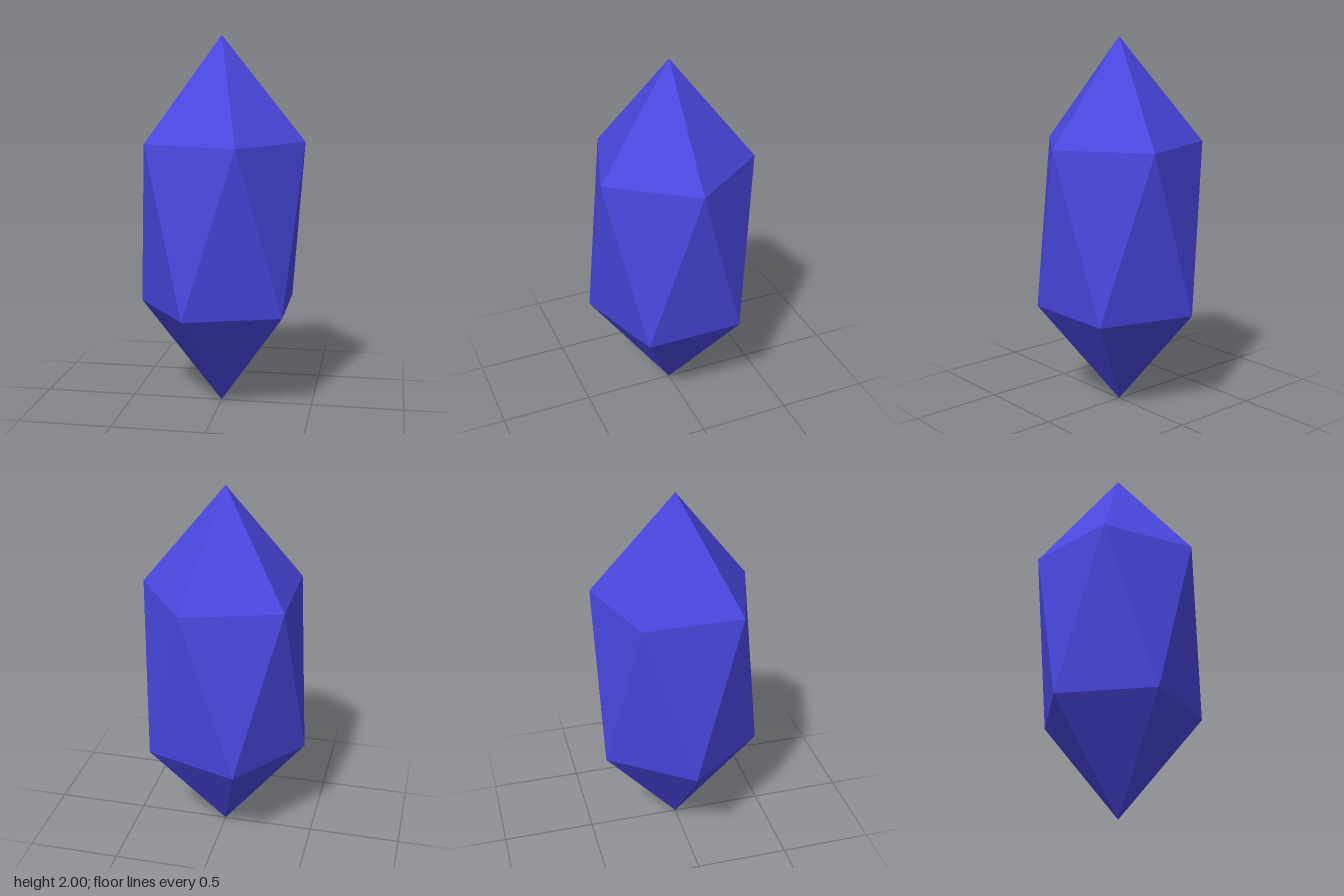
import * as THREE from 'three';

const SIDES = 5;
const RADIUS = 0.447;

// Ring of five corners, turned by a fraction of one step
function ring(y, turn) {
  return Array.from({ length: SIDES }, (_, i) => {
    const a = ((i + turn) / SIDES) * Math.PI * 2;
    return [Math.cos(a) * RADIUS, y, Math.sin(a) * RADIUS];
  });
}

// Stretched twenty-sided gem: two caps joined by a zigzag band
function crystalGeometry() {
  const top = [0, 2, 0];
  const bottom = [0, 0, 0];
  const upper = ring(1.447, 0);
  const lower = ring(0.553, 0.5);
  const corners = [];
  for (let i = 0; i < SIDES; i++) {
    const n = (i + 1) % SIDES;
    corners.push(top, upper[n], upper[i]); // upper cap
    corners.push(upper[i], upper[n], lower[i]); // band, pointing down
    corners.push(lower[n], lower[i], upper[n]); // band, pointing up
    corners.push(lower[i], lower[n], bottom); // lower cap
  }
  const geometry = new THREE.BufferGeometry();
  geometry.setAttribute('position', new THREE.Float32BufferAttribute(corners.flat(), 3));
  geometry.computeVertexNormals();
  return geometry;
}

export function createModel() {
  const group = new THREE.Group();
  group.name = 'gem';

  const indigo = new THREE.MeshStandardMaterial({ color: 0x4a47e0 });
  indigo.name = 'indigo';
  indigo.flatShading = true;

  const crystal = new THREE.Mesh(crystalGeometry(), indigo);
  crystal.name = 'crystal';
  group.add(crystal);
  return group;
}
